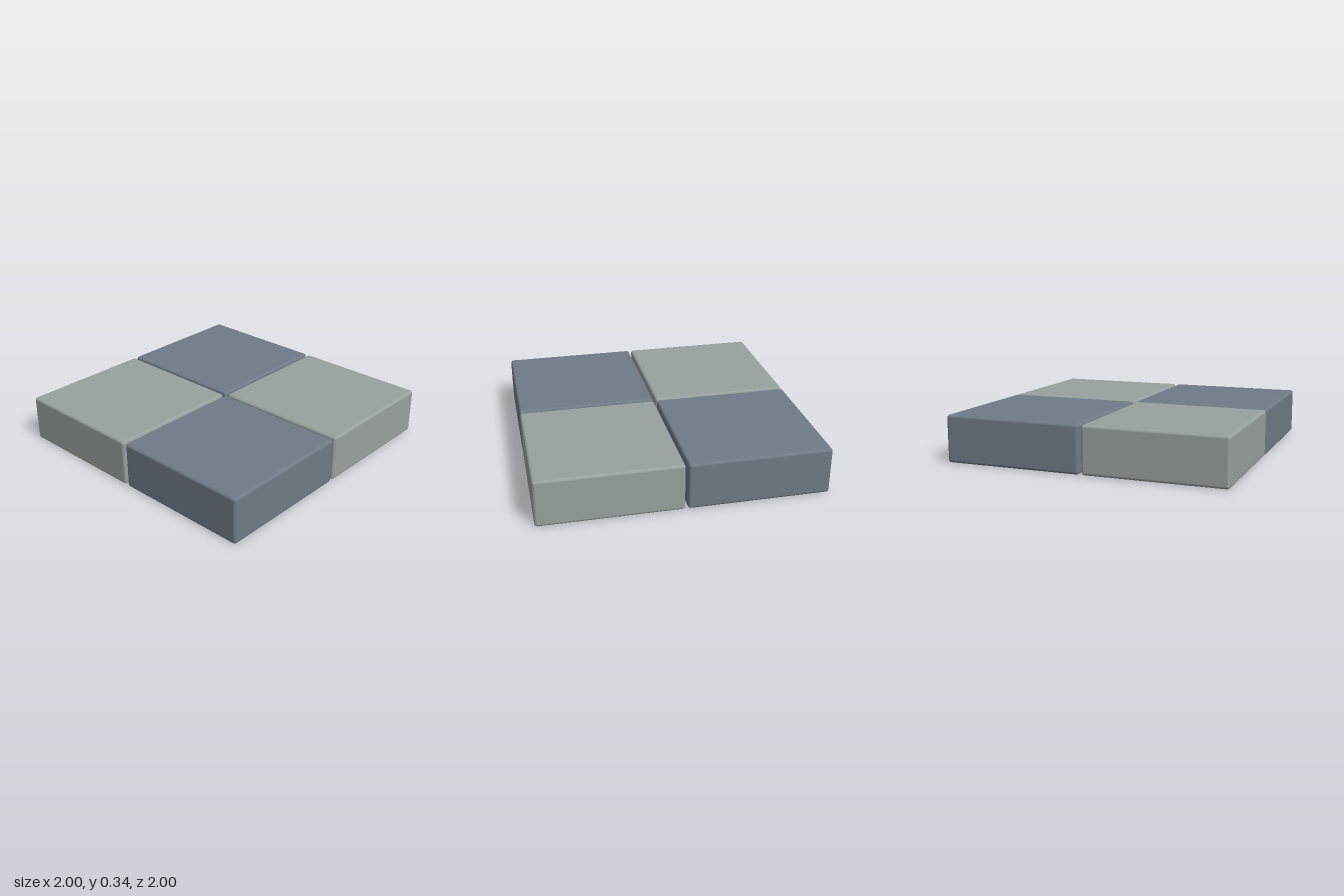
import * as THREE from 'three';
import { RoundedBoxGeometry } from 'three/addons/geometries/RoundedBoxGeometry.js';

const TILE = 0.99, HEIGHT = 0.335, BEVEL = 0.02, CENTRE = 0.505;

export function createModel() {
  const group = new THREE.Group();
  group.name = 'pavingTiles';

  const light = new THREE.MeshStandardMaterial({ color: 0x98a19d });
  const dark = new THREE.MeshStandardMaterial({ color: 0x707a86 });
  const slab = new RoundedBoxGeometry(TILE, HEIGHT, TILE, 3, BEVEL);

  // Four softly bevelled slabs in a checker pattern, with a narrow joint between
  for (const sx of [-1, 1]) {
    for (const sz of [-1, 1]) {
      const tile = new THREE.Mesh(slab, sx === sz ? light : dark);
      tile.name = (sz > 0 ? 'front' : 'back') + (sx > 0 ? 'Left' : 'Right') + 'Tile';
      tile.position.set(sx * CENTRE, HEIGHT / 2, sz * CENTRE);
      group.add(tile);
    }
  }
  return group;
}
